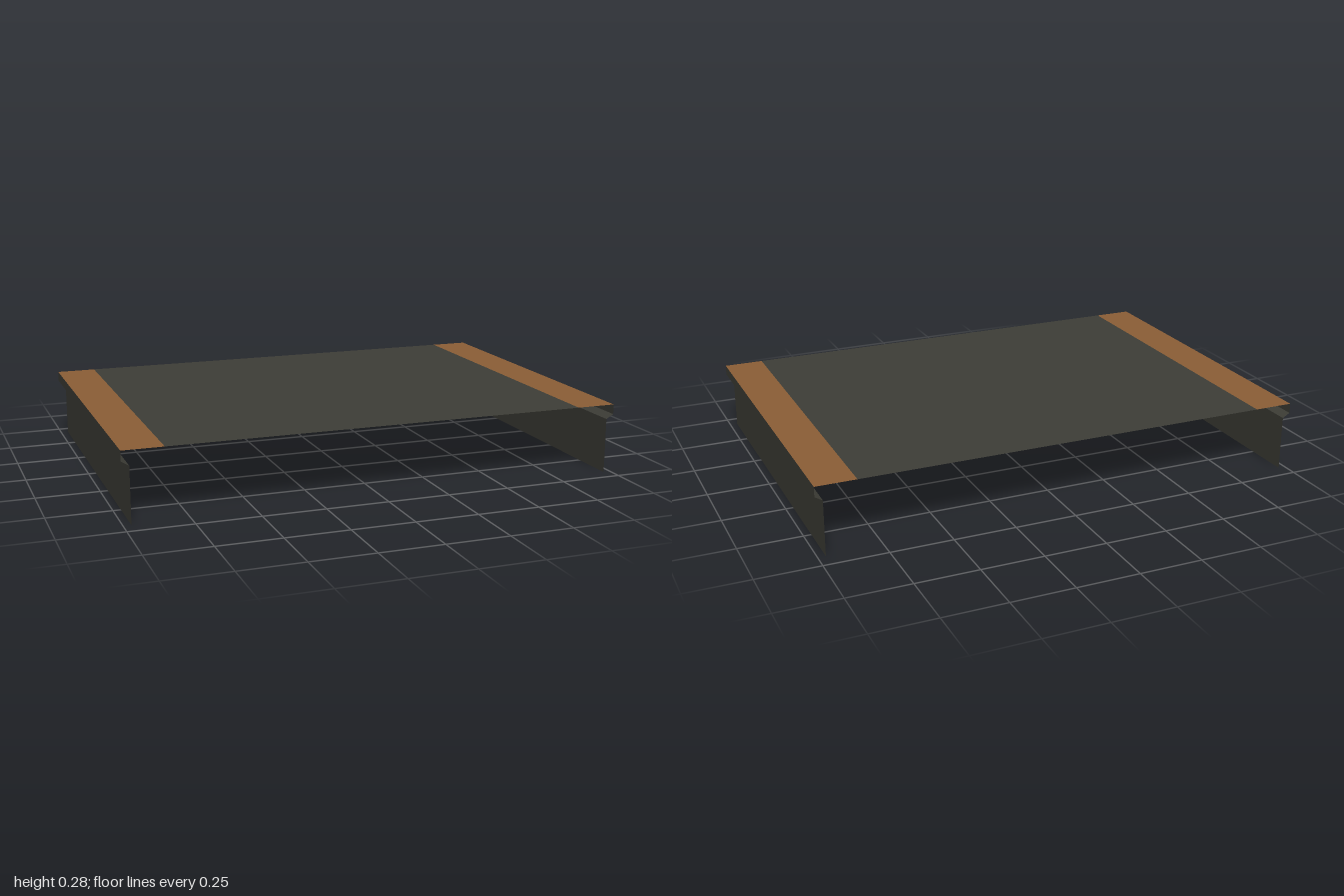
import * as THREE from 'three';

const DEPTH = 1.375;

export function createModel() {
  const model = new THREE.Group();
  model.name = 'platform';
  const darkGrey = new THREE.MeshStandardMaterial({ color: 0x3e3e37, side: THREE.DoubleSide });
  darkGrey.name = 'dark grey';
  const brown = new THREE.MeshStandardMaterial({ color: 0x8c5e36, side: THREE.DoubleSide });
  brown.name = 'rust brown';

  // Thin sheet spanning the depth, between two profile points
  function sheet(name, [x0, y0], [x1, y1], material) {
    const geometry = new THREE.PlaneGeometry(Math.hypot(x1 - x0, y1 - y0), DEPTH);
    geometry.rotateX(-Math.PI / 2);
    geometry.rotateZ(Math.atan2(y1 - y0, x1 - x0));
    geometry.translate((x0 + x1) / 2, (y0 + y1) / 2, 0);
    const mesh = new THREE.Mesh(geometry, material);
    mesh.name = name;
    model.add(mesh);
  }

  // Half profile from the deck centre out over the edge and down the wall
  const half = [[0.84, 0.28], [1, 0.28], [1, 0.24], [0.97, 0.222], [0.97, 0]];
  const parts = [['EdgeBand', brown], ['Lip', darkGrey], ['Bevel', darkGrey], ['Wall', darkGrey]];

  sheet('deck', [-0.84, 0.28], [0.84, 0.28], darkGrey);
  parts.forEach(([name, material], i) => {
    const [a, b] = [half[i], half[i + 1]];
    sheet('left' + name, a, b, material);
    // Mirrored side runs the other way so its outside stays outside
    sheet('right' + name, [-b[0], b[1]], [-a[0], a[1]], material);
  });
  return model;
}
